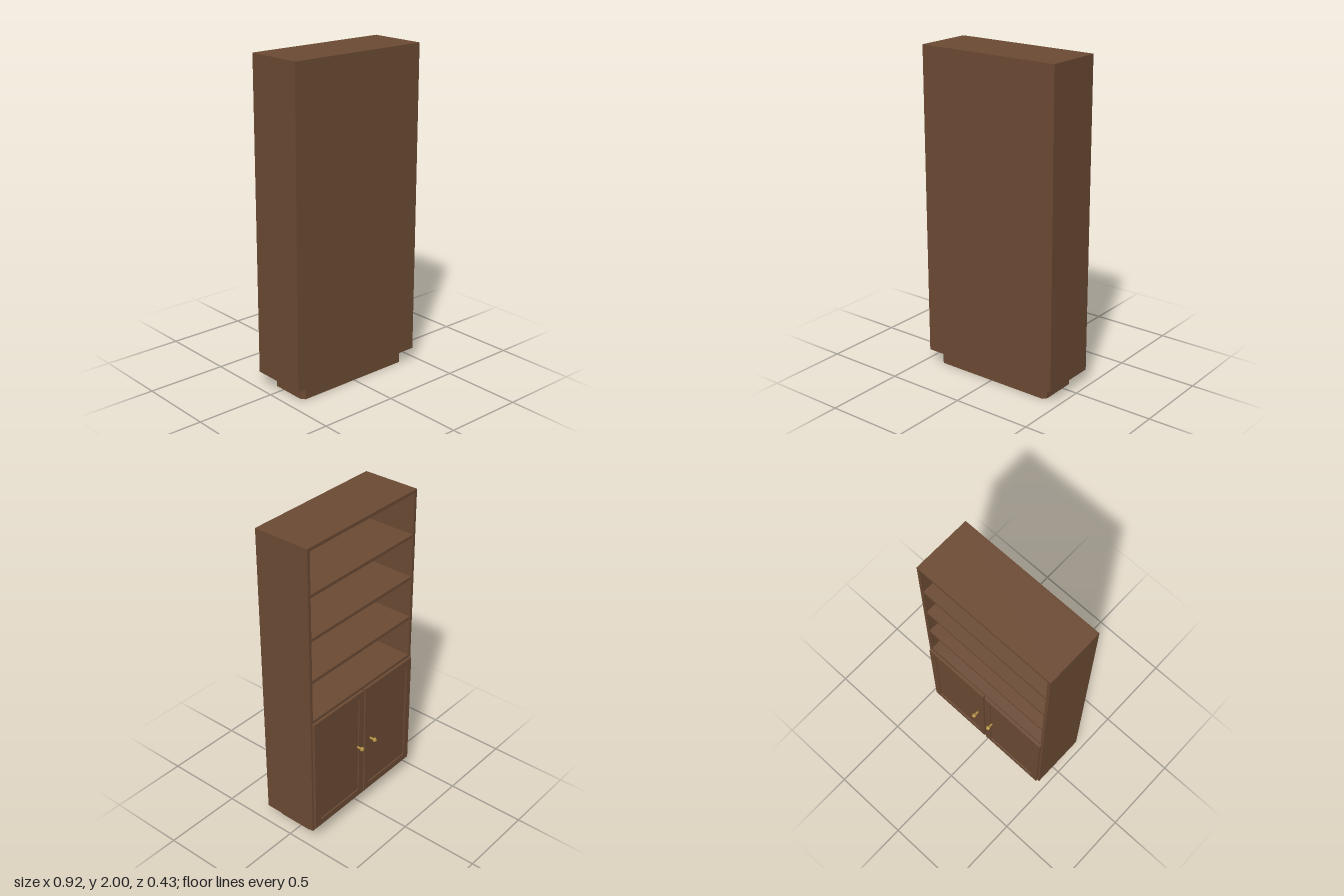
import * as THREE from 'three';

export function createModel() {
  const wood = new THREE.MeshStandardMaterial({ color: 0x6b4a33 });
  wood.name = 'brown wood';
  const brass = new THREE.MeshStandardMaterial({ color: 0xb08d3e, flatShading: true });
  brass.name = 'brass';

  const model = new THREE.Group();
  model.name = 'bookcase';

  const W = 0.462, BOTTOM = 0.083, TOP = 2, OPEN_Z = -0.151, BACK_Z = 0.213, T = 0.02;

  const add = (parent, name, geometry, material, x = 0, y = 0, z = 0) => {
    const mesh = new THREE.Mesh(geometry, material);
    mesh.name = name;
    mesh.position.set(x, y, z);
    parent.add(mesh);
    return mesh;
  };

  // Closed polygon from a list of corner points
  const polygon = (Type, points) => new Type(points.map(([x, y]) => new THREE.Vector2(x, y)));
  const rect = (Type, x0, y0, x1, y1) => polygon(Type, [[x0, y0], [x1, y0], [x1, y1], [x0, y1]]);
  const extrude = (shape, depth) => new THREE.ExtrudeGeometry(shape, { depth, bevelEnabled: false });

  // Carcass: sides, top and bottom as one frame, closed by the back panel
  const carcass = rect(THREE.Shape, -W, BOTTOM, W, TOP);
  carcass.holes.push(rect(THREE.Path, -W + T, BOTTOM + T, W - T, TOP - T));
  add(model, 'carcass', extrude(carcass, BACK_Z - T - OPEN_Z), wood, 0, 0, OPEN_Z);
  add(model, 'backPanel', new THREE.BoxGeometry(2 * W, TOP - BOTTOM, T), wood,
    0, (TOP + BOTTOM) / 2, BACK_Z - T / 2);

  // Cupboard top and three open shelves
  const shelfDepth = BACK_Z - T - OPEN_Z - 0.003;
  for (let i = 0; i < 4; i++) {
    add(model, i ? 'shelf' : 'cupboardTop', new THREE.BoxGeometry(2 * (W - T), T, shelfDepth), wood,
      0, 0.885 + i * 0.275, BACK_Z - T - shelfDepth / 2);
  }

  // Plinth with cut corners
  const px = 0.4, z0 = -0.085, z1 = 0.18, c = 0.02;
  const plinth = polygon(THREE.Shape, [
    [-px + c, -z1], [px - c, -z1], [px, -z1 + c], [px, -z0 - c],
    [px - c, -z0], [-px + c, -z0], [-px, -z0 - c], [-px, -z1 + c],
  ]);
  add(model, 'plinth', extrude(plinth, BOTTOM), wood).rotation.x = -Math.PI / 2;

  // Pair of framed doors, each with a recessed panel and a knob
  const dx0 = 0.006, dx1 = 0.449, dy0 = 0.105, dy1 = 0.88, rail = 0.043;
  const doorDepth = 0.017, doorZ = OPEN_Z - doorDepth, recess = 0.009;
  for (const side of [1, -1]) {
    const door = new THREE.Group();
    door.name = side > 0 ? 'leftDoor' : 'rightDoor';
    const cx = side * (dx0 + dx1) / 2, cy = (dy0 + dy1) / 2;
    const w = (dx1 - dx0) / 2, h = (dy1 - dy0) / 2;

    const frame = rect(THREE.Shape, -w, -h, w, h);
    frame.holes.push(rect(THREE.Path, -w + rail, -h + rail, w - rail, h - rail));
    add(door, 'doorFrame', extrude(frame, doorDepth), wood, cx, cy, doorZ);
    add(door, 'doorPanel',
      new THREE.BoxGeometry(2 * (w - rail), 2 * (h - rail), doorDepth - recess), wood,
      cx, cy, doorZ + (doorDepth + recess) / 2);

    const kx = side * 0.06, ky = 0.49;
    add(door, 'knobStem', new THREE.CylinderGeometry(0.007, 0.007, 0.034, 8), brass,
      kx, ky, doorZ - 0.015).rotation.x = Math.PI / 2;
    add(door, 'knob', new THREE.SphereGeometry(0.0155, 6, 4), brass, kx, ky, -0.2);
    model.add(door);
  }

  return model;
}
